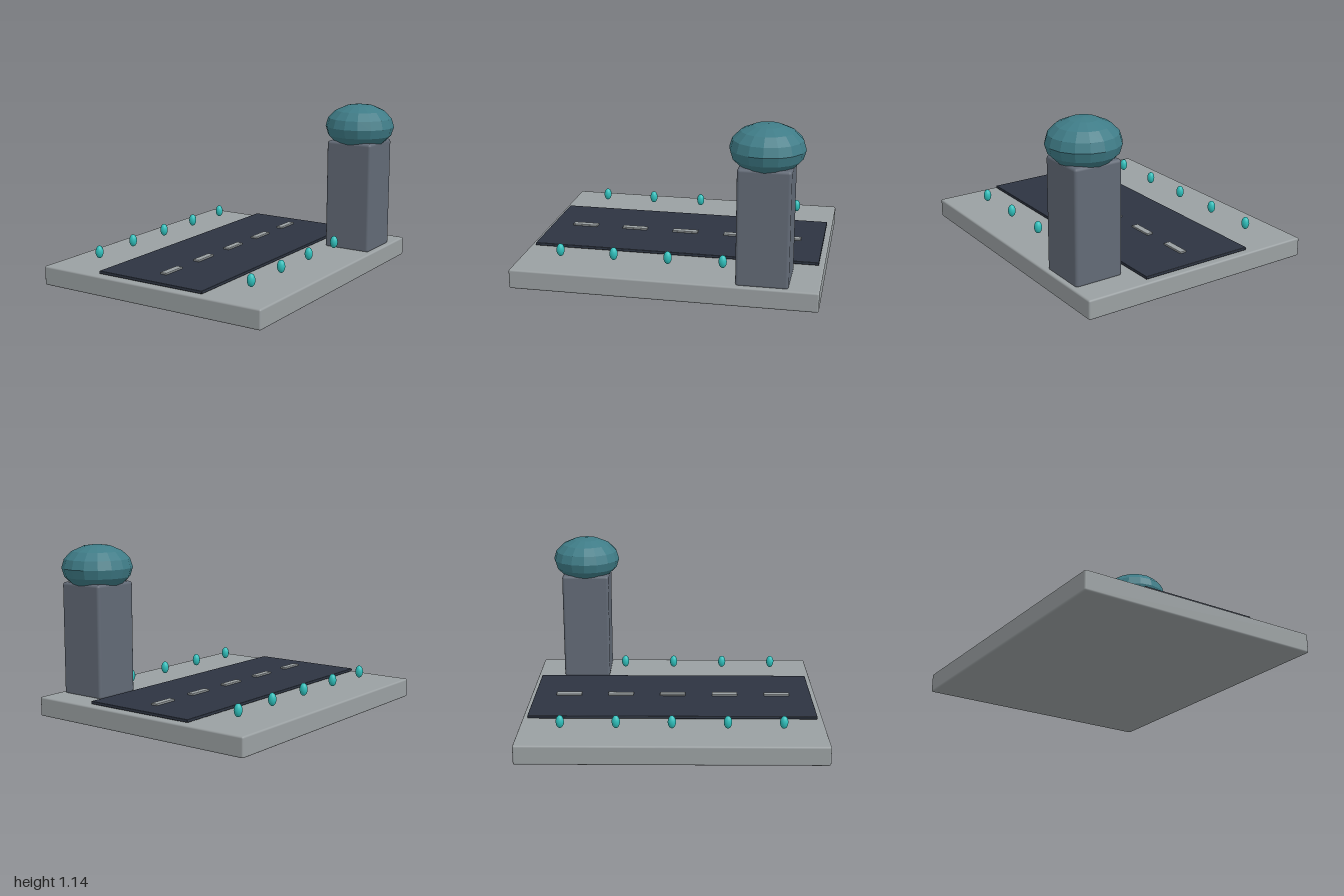
import * as THREE from 'three';
import { RoundedBoxGeometry } from 'three/addons/geometries/RoundedBoxGeometry.js';

const material = (name, color, flatShading = false) => {
  const m = new THREE.MeshStandardMaterial({ color, flatShading });
  m.name = name;
  return m;
};

export function createModel() {
  const concrete = material('concrete grey', 0x9aa0a2);
  const asphalt = material('dark asphalt', 0x2d3441);
  const wall = material('slate wall', 0x626a76);
  const glass = material('teal glass', 0x3f7c87, true);
  const glow = material('turquoise light', 0x2fbfbb);

  const model = new THREE.Group();
  model.name = 'runwayWithTower';

  const add = (parent, name, geometry, mat, x, y, z) => {
    const mesh = new THREE.Mesh(geometry, mat);
    mesh.name = name;
    mesh.position.set(x, y, z);
    parent.add(mesh);
    return mesh;
  };
  const group = (name) => {
    const g = new THREE.Group();
    g.name = name;
    model.add(g);
    return g;
  };
  // Box given by its size and the height of its underside
  const box = (parent, name, mat, [w, h, d], bevel, x, bottom, z) =>
    add(parent, name, new RoundedBoxGeometry(w, h, d, 2, bevel), mat, x, bottom + h / 2, z);

  // Ground slab and runway strip
  box(model, 'groundSlab', concrete, [1.68, 0.13, 2], 0.012, -0.02, 0, 0);
  box(model, 'runway', asphalt, [0.8, 0.02, 1.925], 0.004, -0.02, 0.137, -0.002);

  // Centre line dashes and the two rows of edge lights
  const dashes = group('centreLine');
  const lights = group('edgeLights');
  const bulb = new THREE.SphereGeometry(1, 16, 10).scale(0.027, 0.043, 0.027);
  for (let i = -2; i <= 2; i++) {
    const z = i * 0.361 - 0.002;
    box(dashes, 'dash', concrete, [0.046, 0.013, 0.176], 0.003, -0.022, 0.157, z);
    for (const x of [-0.62, 0.58]) add(lights, 'edgeLight', bulb, glow, x, 0.198, z);
  }

  // Control tower with its faceted cabin
  const tower = group('controlTower');
  box(tower, 'towerShaft', wall, [0.335, 0.765, 0.335], 0.02, 0.62, 0.12, -0.64);
  const cabin = new THREE.SphereGeometry(1, 16, 8).scale(0.238, 0.157, 0.238);
  add(tower, 'towerCabin', cabin, glass, 0.62, 0.98, -0.64);

  return model;
}
